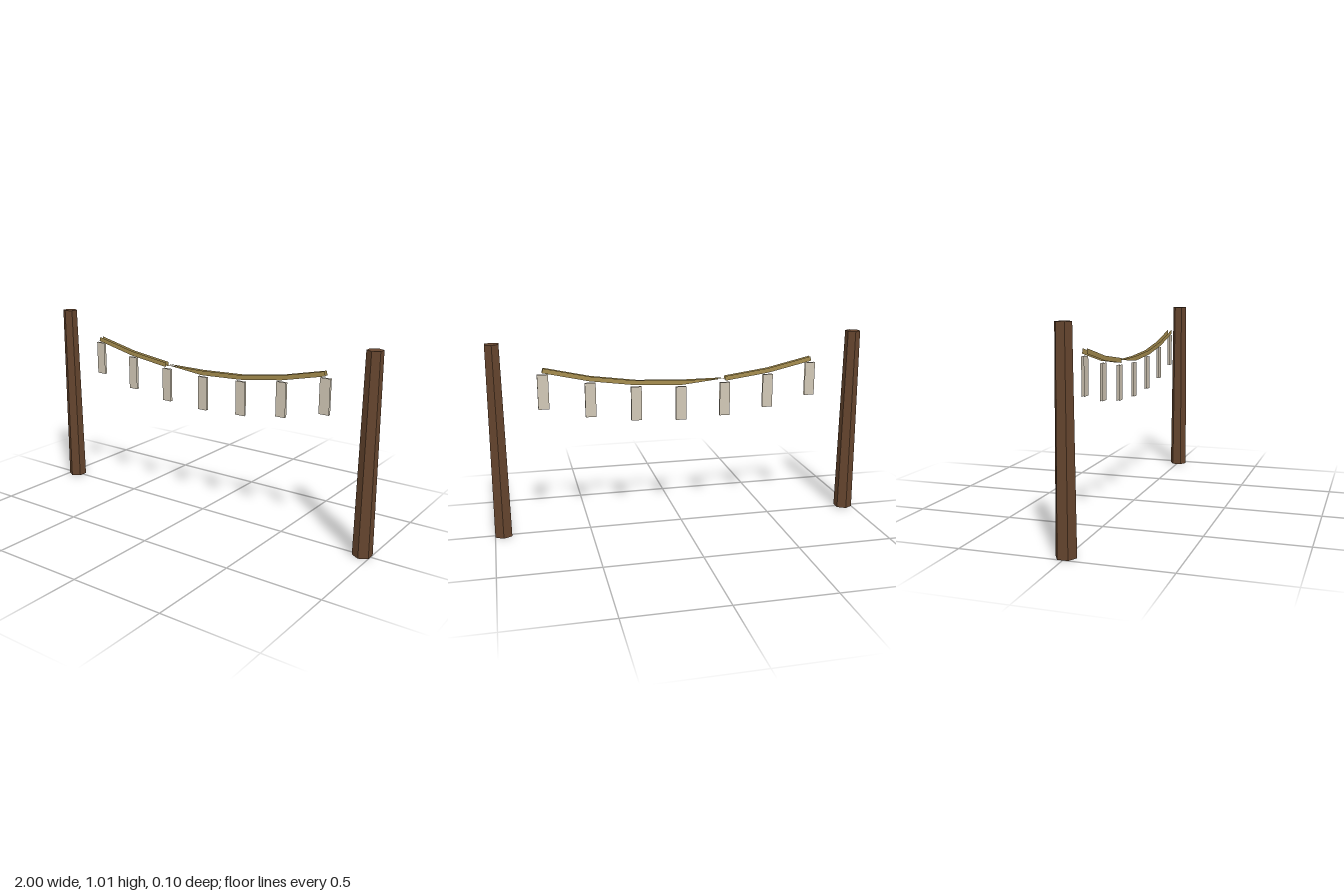
import * as THREE from 'three';

const STEP = 0.239;
const sag = (x) => 0.774 + 0.189 * x * x;

// Thin upright sheet outlined by [x, y] points
function sheet(points, z, material, name) {
  const shape = new THREE.Shape(points.map(([x, y]) => new THREE.Vector2(x, y)));
  const mesh = new THREE.Mesh(new THREE.ShapeGeometry(shape), material);
  mesh.position.z = z;
  mesh.name = name;
  return mesh;
}

export function createModel() {
  const group = new THREE.Group();
  group.name = 'ropeWithPaperStrips';
  const wood = new THREE.MeshStandardMaterial({ color: 0x65452e, flatShading: true });
  const straw = new THREE.MeshStandardMaterial({ color: 0xa68d4f, side: THREE.DoubleSide });
  const paper = new THREE.MeshStandardMaterial({ color: 0xd2c8b6, side: THREE.DoubleSide });

  // Tapered six-sided posts
  for (const side of [-1, 1]) {
    const post = new THREE.Mesh(new THREE.CylinderGeometry(0.04, 0.05, 1.014, 6), wood);
    post.position.set(side * 0.957, 0.507, 0);
    post.name = side > 0 ? 'leftPost' : 'rightPost';
    group.add(post);
  }

  // Sagging rope: front and back ribbons, one link frayed to a point
  const rope = new THREE.Group();
  rope.name = 'rope';
  const edge = (i, s) => {
    const x = i * STEP, slope = 2 * 0.189 * x, n = 0.012 / Math.hypot(1, slope);
    return [x - s * slope * n, sag(x) + s * n];
  };
  for (const z of [-0.011, 0.011]) {
    for (let i = -3; i < 3; i++) {
      const start = i === -1 ? [[-STEP, sag(STEP) + 0.002]] : [edge(i, 1), edge(i, -1)];
      rope.add(sheet([...start, edge(i + 1, -1), edge(i + 1, 1)], z, straw, 'ropeLink'));
    }
  }
  group.add(rope);

  // Hanging paper strips, each a front and a back sheet
  for (let i = -3; i <= 3; i++) {
    const strip = new THREE.Group();
    strip.name = 'paperStrip';
    const x = i * STEP, top = sag(x) - 0.022, w = 0.028;
    const outline = [[x - w, top - 0.18], [x + w, top - 0.18], [x + w, top], [x - w, top]];
    for (const z of [-0.006, 0.006]) strip.add(sheet(outline, z, paper, 'paperSheet'));
    group.add(strip);
  }
  return group;
}
